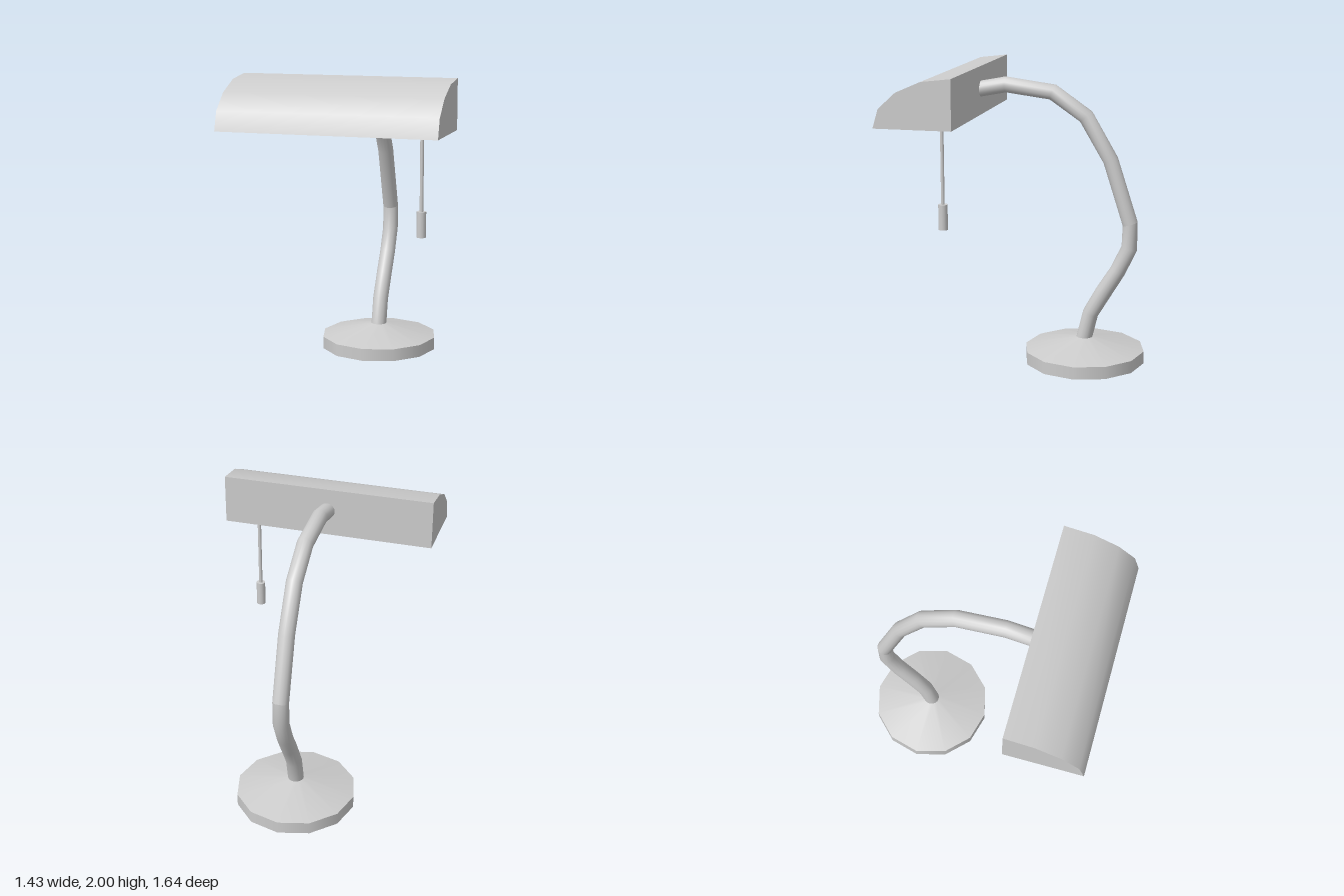
import * as THREE from 'three';
import { toCreasedNormals } from 'three/addons/utils/BufferGeometryUtils.js';

export function createModel() {
  const lamp = new THREE.Group();
  lamp.name = 'deskLamp';
  const grey = new THREE.MeshStandardMaterial({ color: 0xcccccc });
  grey.name = 'lightGrey';

  const add = (name, geometry, x = 0, y = 0, z = 0) => {
    const mesh = new THREE.Mesh(geometry, grey);
    mesh.name = name;
    mesh.position.set(x, y, z);
    lamp.add(mesh);
    return mesh;
  };

  // Twelve-sided foot: a flat disc with a shallow cone on top
  add('baseDisc', new THREE.CylinderGeometry(0.41, 0.41, 0.085, 12), 0, 0.0425, -0.41);
  add('baseCone', new THREE.CylinderGeometry(0.054, 0.41, 0.08, 12, 1, true), 0, 0.125, -0.41);

  // Bent arm: each ring is [inner z, inner y, outer z, outer y] of its mitred joint
  const armRadius = 0.054;
  const rings = [
    [-0.355, 0.165, -0.465, 0.165],
    [-0.4, 0.355, -0.5, 0.315],
    [-0.49, 0.52, -0.6, 0.485],
    [-0.585, 0.67, -0.68, 0.62],
    [-0.655, 0.82, -0.76, 0.795],
    [-0.66, 0.96, -0.76, 0.99],
    [-0.525, 1.38, -0.62, 1.42],
    [-0.365, 1.65, -0.445, 1.72],
    [-0.16, 1.79, -0.2, 1.89],
    [0.14, 1.828, 0.14, 1.935],
    [0.32, 1.793, 0.32, 1.9],
  ];
  const bentTube = (joints) => {
    const n = joints.length - 1;
    const g = new THREE.CylinderGeometry(armRadius, armRadius, 1, 16, n, true);
    const p = g.attributes.position;
    for (let i = 0; i < p.count; i++) {
      const [az, ay, bz, by] = joints[Math.round((p.getY(i) + 0.5) * n)];
      const t = 0.5 + (0.5 * p.getZ(i)) / armRadius;
      p.setXYZ(i, p.getX(i), by + (ay - by) * t, bz + (az - bz) * t);
    }
    return toCreasedNormals(g, 1.1);
  };
  add('lowerArm', bentTube(rings.slice(0, 6)));
  add('upperArm', bentTube(rings.slice(5)));

  // Long shade: solid quarter-round profile (z, y) extruded along x
  const profile = [
    [0.31, 1.675], [0.823, 1.675], [0.785, 1.8], [0.67, 1.905], [0.505, 1.977], [0.31, 2],
  ].map(([z, y]) => new THREE.Vector2(z, y));
  const shade = new THREE.ExtrudeGeometry(new THREE.Shape(profile), { depth: 1.43, bevelEnabled: false });
  shade.translate(0, 0, -0.715).rotateY(-Math.PI / 2);
  add('shade', toCreasedNormals(shade, 0.7));

  // Pull cord and its handle
  add('pullCord', new THREE.CylinderGeometry(0.012, 0.012, 0.52, 10), 0.52, 1.42, 0.43);
  add('pullHandle', new THREE.CylinderGeometry(0.031, 0.031, 0.167, 12), 0.52, 1.0815, 0.43);

  return lamp;
}
